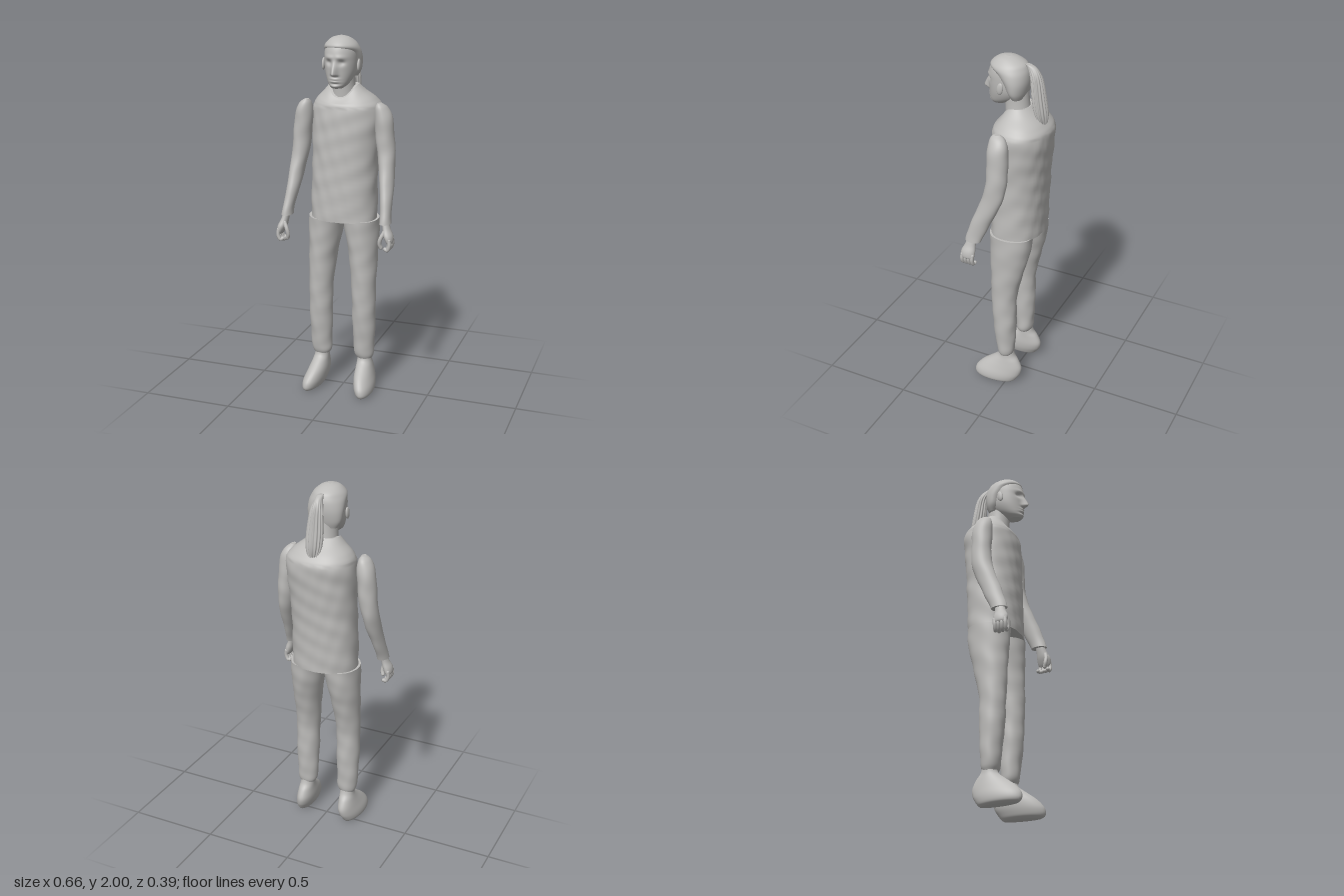
import * as THREE from 'three';

const grey = new THREE.MeshStandardMaterial({ color: 0xbdbcba });
grey.name = 'plain grey';

const bump = (d, w) => Math.exp(-(d * d) / (w * w));
const smooth = THREE.MathUtils.smoothstep;

// Smooth body through horizontal cross-sections, listed top to bottom:
// [y, xMin, xMax, zBack, zFront]. side = -1 mirrors in x.
function loft(rows, { side = 1, segs = 32, steps = 5, power = 1, deform } = {}) {
  const pos = [], idx = [], rings = [];
  const spline = (a, b, c, d, t) => 0.5 * (2 * b + (c - a) * t
    + (2 * a - 5 * b + 4 * c - d) * t * t + (3 * b - a - 3 * c + d) * t * t * t);
  for (let i = 0; i < rows.length - 1; i++) {
    const [a, b, c, d] = [i - 1, i, i + 1, i + 2].map(k => rows[Math.min(Math.max(k, 0), rows.length - 1)]);
    for (let k = 0; k < steps; k++) rings.push(b.map((_, j) => spline(a[j], b[j], c[j], d[j], k / steps)));
  }
  rings.push(rows[rows.length - 1]);
  const round = v => Math.sign(v) * Math.abs(v) ** power;
  for (const [y, x0, x1, z0, z1] of rings) {
    for (let j = 0; j < segs; j++) {
      const t = j / segs * Math.PI * 2;
      const p = new THREE.Vector3(
        side * (x0 + x1) / 2 + (x1 - x0) / 2 * round(Math.cos(t)), y,
        (z0 + z1) / 2 + (z1 - z0) / 2 * round(Math.sin(t)));
      if (deform) deform(p, t);
      pos.push(p.x, p.y, p.z);
    }
  }
  for (let i = 0; i < rings.length - 1; i++) for (let j = 0; j < segs; j++) {
    const a = i * segs + j, b = i * segs + (j + 1) % segs;
    idx.push(a, b, a + segs, b, b + segs, a + segs);
  }
  // end caps with their own vertices, so the rims stay crisp
  for (const [ring, top] of [[0, true], [rings.length - 1, false]]) {
    const start = pos.length / 3, c = [0, 0, 0];
    for (let j = 0; j < segs; j++) for (let k = 0; k < 3; k++) {
      const v = pos[(ring * segs + j) * 3 + k];
      pos.push(v);
      c[k] += v / segs;
    }
    pos.push(...c);
    for (let j = 0; j < segs; j++) {
      const a = start + j, b = start + (j + 1) % segs;
      idx.push(start + segs, top ? b : a, top ? a : b);
    }
  }
  const g = new THREE.BufferGeometry();
  g.setAttribute('position', new THREE.Float32BufferAttribute(pos, 3));
  g.setIndex(idx);
  g.computeVertexNormals();
  return g;
}

// Uneven cloth surface
const wrinkle = amount => p => {
  p.z += amount * Math.sin(p.y * 43 + p.x * 31) * Math.sin(p.x * 52 - p.y * 17);
  p.x += amount * 0.7 * Math.sin(p.y * 37 + p.z * 29);
};

export function createModel() {
  const model = new THREE.Group();
  model.name = 'standingFigure';
  const add = (name, geometry, parent = model) => {
    const m = new THREE.Mesh(geometry, grey);
    m.name = name;
    parent.add(m);
    return m;
  };

  // Sleeveless top with a scooped neckline
  const cloth = wrinkle(0.003);
  add('torso', loft([
    [1.74, -0.08, 0.08, -0.075, 0.05], [1.705, -0.11, 0.115, -0.115, 0.075],
    [1.66, -0.155, 0.17, -0.165, 0.095], [1.61, -0.177, 0.2, -0.192, 0.11],
    [1.5, -0.18, 0.196, -0.185, 0.118], [1.35, -0.178, 0.183, -0.172, 0.122],
    [1.18, -0.182, 0.18, -0.162, 0.126], [1.0, -0.184, 0.184, -0.155, 0.13],
  ], {
    segs: 56, steps: 8, power: 0.88, deform: (p, t) => {
      const front = Math.max(0, Math.sin(t));
      const collar = smooth(p.y, 1.62, 1.74);
      p.y -= 0.07 * front * front * collar;
      p.z += 0.02 * front * collar;
      if (p.y < 1.62) cloth(p);
    },
  }));

  add('neck', loft([
    [1.82, -0.058, 0.062, -0.06, 0.08], [1.74, -0.06, 0.062, -0.066, 0.066],
    [1.64, -0.07, 0.072, -0.08, 0.06],
  ]));

  // Head with sculpted brow, eye sockets, nose and lips
  add('head', loft([
    [1.996, -0.01, 0.015, 0.035, 0.06], [1.985, -0.045, 0.05, 0, 0.1],
    [1.96, -0.07, 0.075, -0.045, 0.134], [1.92, -0.082, 0.087, -0.062, 0.152],
    [1.87, -0.083, 0.088, -0.063, 0.155], [1.82, -0.078, 0.083, -0.053, 0.153],
    [1.78, -0.065, 0.07, -0.02, 0.152], [1.75, -0.047, 0.052, 0.03, 0.15],
    [1.733, -0.026, 0.031, 0.07, 0.14],
  ], {
    segs: 80, steps: 10, deform: (p, t) => {
      if (Math.sin(t) < 0.3) return;
      const x = Math.abs(p.x - 0.002), y = p.y;
      const slope = smooth(y, 1.795, 1.81) * (1 - smooth(y, 1.8, 1.895));
      p.z += 0.04 * bump(x, 0.015) * slope;
      p.z += 0.006 * bump(y - 1.895, 0.012) * bump(x - 0.03, 0.03);
      p.z -= 0.013 * bump(y - 1.868, 0.014) * bump(x - 0.034, 0.018);
      p.z += 0.008 * bump(x, 0.022) * (bump(y - 1.784, 0.006) + bump(y - 1.77, 0.006));
      p.z += 0.008 * bump(x, 0.022) * bump(y - 1.745, 0.011);
      p.z -= 0.004 * bump(x, 0.03) * bump(y - 1.757, 0.006);
    },
  }));

  // Swept-back hair cap
  add('hair', loft([
    [2.0, -0.012, 0.018, 0.03, 0.065], [1.99, -0.045, 0.05, -0.005, 0.103],
    [1.968, -0.072, 0.078, -0.045, 0.134], [1.945, -0.087, 0.094, -0.06, 0.143],
    [1.915, -0.093, 0.102, -0.068, 0.105], [1.87, -0.094, 0.104, -0.069, 0.065],
    [1.82, -0.087, 0.096, -0.06, 0.04], [1.785, -0.068, 0.075, -0.048, 0.02],
  ], { segs: 48 }));

  // Ponytail with ridged strands
  add('ponytail', loft([
    [1.968, -0.012, 0.018, -0.08, -0.045], [1.95, -0.017, 0.023, -0.112, -0.055],
    [1.9, -0.028, 0.036, -0.138, -0.077], [1.8, -0.037, 0.048, -0.158, -0.088],
    [1.72, -0.036, 0.048, -0.17, -0.102], [1.67, -0.023, 0.035, -0.167, -0.13],
    [1.643, -0.004, 0.012, -0.159, -0.15],
  ], {
    segs: 72, deform: (p, t) => {
      const r = 0.0035 * Math.sin(t * 14) * (1 - smooth(p.y, 1.88, 1.96));
      p.x += r * Math.cos(t);
      p.z += r * Math.sin(t);
    },
  }));

  for (const s of [1, -1]) {
    const label = s > 0 ? 'left' : 'right';

    const ear = add(label + 'Ear', new THREE.SphereGeometry(1, 16, 12));
    ear.position.set(s * 0.098 + 0.004, 1.85, 0.052);
    ear.scale.set(0.009, 0.033, 0.018);
    ear.rotation.x = -0.15;

    // Sleeve from shoulder to cuff
    add(label + 'Arm', loft([
      [1.648, 0.195, 0.22, -0.005, 0.035], [1.625, 0.183, 0.248, -0.035, 0.052],
      [1.57, 0.178, 0.274, -0.052, 0.06], [1.47, 0.185, 0.285, -0.054, 0.06],
      [1.37, 0.197, 0.293, -0.05, 0.064], [1.27, 0.216, 0.297, -0.028, 0.09],
      [1.16, 0.234, 0.302, 0.022, 0.132], [1.07, 0.249, 0.307, 0.064, 0.163],
      [1.025, 0.251, 0.312, 0.083, 0.175],
    ], { side: s, deform: wrinkle(0.0018) }));

    // Hand with curled fingers and a thumb
    const hand = new THREE.Group();
    hand.name = label + 'Hand';
    model.add(hand);
    add('palm', loft([
      [1.04, 0.264, 0.3, 0.105, 0.16], [1.0, 0.27, 0.312, 0.11, 0.172],
      [0.965, 0.278, 0.328, 0.108, 0.188], [0.935, 0.292, 0.331, 0.11, 0.187],
      [0.92, 0.302, 0.322, 0.118, 0.178],
    ], { side: s, segs: 20 }), hand);
    const digit = (name, points, r) => {
      const curve = new THREE.CatmullRomCurve3(points.map(([x, y, z]) => new THREE.Vector3(s * x, y, z)));
      add(name, new THREE.TubeGeometry(curve, 10, r, 10), hand);
      for (const t of [0, 1]) add(name + 'End', new THREE.SphereGeometry(r, 10, 8), hand).position.copy(curve.getPoint(t));
    };
    for (let i = 0; i < 4; i++) {
      const z = 0.118 + i * 0.02, tip = 0.872 + Math.abs(i - 1.3) * 0.008;
      digit('finger', [[0.316, 0.945, z], [0.318, 0.915, z + 0.002], [0.306, 0.89, z], [0.294, tip + 0.01, z - 0.004]], 0.0105);
    }
    digit('thumb', [[0.285, 0.985, 0.165], [0.268, 0.95, 0.175], [0.262, 0.92, 0.172], [0.268, 0.9, 0.166]], 0.011);

    // Trouser leg
    add(label + 'Leg', loft([
      [1.005, 0.0, 0.198, -0.135, 0.112], [0.9, 0.018, 0.198, -0.122, 0.107],
      [0.78, 0.04, 0.195, -0.093, 0.102], [0.6, 0.058, 0.192, -0.052, 0.096],
      [0.42, 0.062, 0.192, -0.048, 0.086], [0.27, 0.067, 0.186, -0.041, 0.068],
      [0.215, 0.07, 0.181, -0.036, 0.062], [0.19, 0.08, 0.172, -0.028, 0.052],
    ], { side: s, segs: 40, steps: 7, deform: wrinkle(0.002) }));

    // Ankle and soft shoe
    add(label + 'Foot', loft([
      [0.23, 0.09, 0.165, -0.028, 0.05], [0.18, 0.088, 0.168, -0.04, 0.055],
      [0.145, 0.087, 0.176, -0.066, 0.095], [0.1, 0.086, 0.19, -0.086, 0.155],
      [0.06, 0.09, 0.202, -0.08, 0.19], [0.03, 0.098, 0.205, -0.063, 0.198],
      [0.01, 0.108, 0.2, -0.048, 0.191], [0, 0.125, 0.185, -0.035, 0.175],
    ], {
      side: s, deform: p => {
        // toes turn slightly outward, heel narrows
        const low = 1 - smooth(p.y, 0.05, 0.17);
        p.x += s * low * (p.z - 0.08) * 0.06;
      },
    }));
  }
  return model;
}
